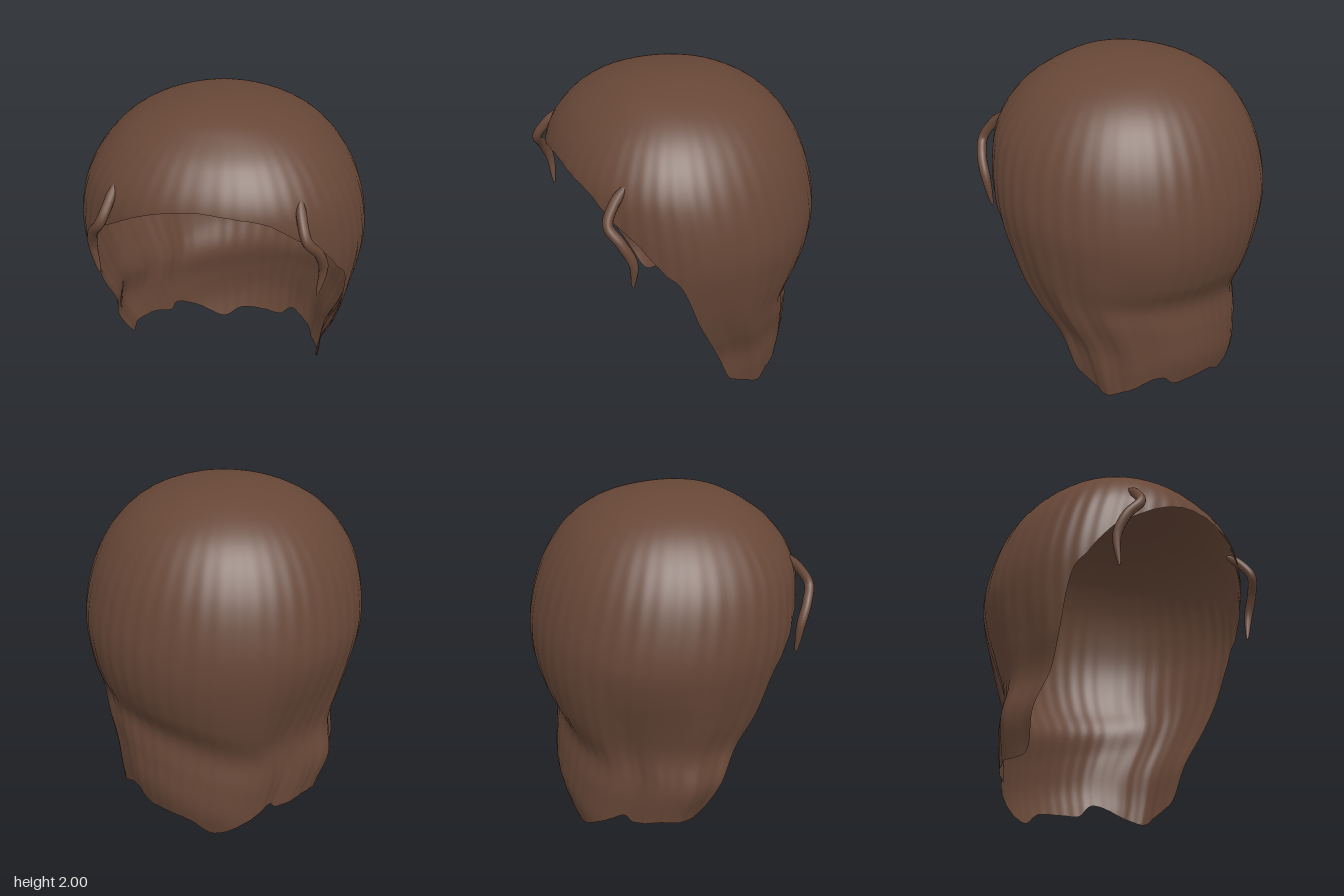
import * as THREE from 'three';

const hair = new THREE.MeshStandardMaterial({ color: 0x674737, side: THREE.DoubleSide });
hair.name = 'brown hair';

// Smooth interpolation through rows of [position, ...values]
function smoothTable(rows) {
  const size = rows[0].length - 1;
  const f = new THREE.CubicInterpolant(
    new Float32Array(rows.map(r => r[0])),
    new Float32Array(rows.flatMap(r => r.slice(1))), size, new Float32Array(size));
  return p => [...f.evaluate(p)];
}

// Cross-sections: height, left width, right width, front z, back z, centre z
const sections = smoothTable([
  [2, 0, 0, 0.1, 0.1, 0.1],
  [1.97, 0.25, 0.25, 0.35, -0.19, 0.1],
  [1.9, 0.45, 0.45, 0.5, -0.37, 0.1],
  [1.8, 0.59, 0.59, 0.63, -0.51, 0.1],
  [1.6, 0.735, 0.735, 0.75, -0.65, 0.1],
  [1.4, 0.8, 0.8, 0.76, -0.72, 0.08],
  [1.2, 0.82, 0.82, 0.75, -0.75, 0.05],
  [1.0, 0.795, 0.79, 0.73, -0.735, 0.03],
  [0.8, 0.755, 0.74, 0.69, -0.68, 0.01],
  [0.6, 0.70, 0.69, 0.60, -0.595, -0.04],
  [0.4, 0.63, 0.715, 0.50, -0.62, -0.1],
  [0.2, 0.605, 0.65, 0.45, -0.63, -0.15],
  [0, 0.57, 0.6, 0.42, -0.58, -0.17],
].map(([y, ...v]) => [Math.sqrt(2 - y), ...v]));

// Hem: angle around the head (0 = front, 90 = left) and height
const hemPoints = [
  [0, 1.62], [12, 1.6], [25, 1.56], [38, 1.44], [47, 1.36], [57, 1.2], [65, 1.08],
  [72, 0.75], [76, 0.4], [79, 0.2], [86, 0.12], [98, 0.06], [115, 0.1], [140, 0.19],
  [151, 0.11], [163, 0.1], [179, 0.08], [192, 0.0], [212, 0.1], [228, 0.18],
  [236, 0.14], [250, 0.17], [262, 0.18], [279, 0.2], [284, 0.4], [288, 0.72],
  [295, 1.07], [303, 1.2], [313, 1.36], [322, 1.44], [335, 1.54], [348, 1.6], [360, 1.62],
];
const hem = smoothTable(hemPoints.map((p, i) => [i, ...p]));

const bulge = (v, power) => Math.sign(v) * Math.abs(v) ** power;

// Point on the shell at angle u, s = square root of the drop from the crown
function shellPoint(u, s) {
  const y = 2 - s * s;
  const power = Math.cos(u) > 0 ? 0.91 : 0.97;
  const sin = bulge(Math.sin(u), power), cos = bulge(Math.cos(u), power);
  const low = THREE.MathUtils.smoothstep(1.2 - y, 0, 0.7);
  const [left, right, front, , centre] = sections(s);
  // the hollow above the nape runs diagonally across the back
  const back = sections(Math.sqrt(Math.max(0, 2 - y + 0.2 * low * sin)))[3];
  // fine strands, broad folds in the lower hair and one deep fold behind the right side
  const strands = 0.0025 * Math.min(1, s * s * 2) * Math.sin(48 * u + 3 * s);
  const folds = 0.014 * low * Math.sin(u) ** 2 * Math.sin(15 * u + 2.5 * y);
  const deepFold = -0.11 * low * Math.exp(-(((u - 4.08) / 0.33) ** 2));
  const k = 1 + strands + folds + deepFold;
  return [
    sin * (sin > 0 ? left : right) * k, y,
    centre + cos * (cos > 0 ? front - centre : centre - back) * k,
  ];
}

// Open shell from the crown down to the hem
function hairShell() {
  const cols = (hemPoints.length - 1) * 12, rows = 90, pos = [], index = [];
  for (let r = 0; r <= rows; r++) {
    for (let c = 0; c < cols; c++) {
      const [deg, yEnd] = hem(c / 12);
      const sEnd = Math.sqrt(2 - Math.max(0, yEnd));
      pos.push(...shellPoint(THREE.MathUtils.degToRad(deg), sEnd * r / rows));
    }
  }
  for (let r = 0; r < rows; r++) {
    for (let c = 0; c < cols; c++) {
      const n = (c + 1) % cols;
      const a = r * cols + c, b = a + cols, d = r * cols + n, e = d + cols;
      index.push(a, b, e);
      if (r > 0) index.push(a, e, d);
    }
  }
  const g = new THREE.BufferGeometry();
  g.setAttribute('position', new THREE.Float32BufferAttribute(pos, 3));
  g.setIndex(index);
  g.computeVertexNormals();
  return g;
}

// Loose lock at the temple: a tube tapering at both ends
function lock(side) {
  const curve = new THREE.CatmullRomCurve3([
    [0.485, 1.66, 0.55], [0.51, 1.57, 0.64], [0.545, 1.48, 0.69],
    [0.605, 1.39, 0.645], [0.63, 1.27, 0.595], [0.605, 1.09, 0.59],
  ].map(([x, y, z]) => new THREE.Vector3(side * x, y, z)));
  const steps = 48, sides = 12;
  const g = new THREE.TubeGeometry(curve, steps, 0.028, sides);
  const p = g.attributes.position, v = new THREE.Vector3();
  for (let i = 0; i <= steps; i++) {
    const t = i / steps, c = curve.getPointAt(t);
    const taper = Math.min(1, Math.sqrt(t * 8), Math.sqrt((1 - t) * 3));
    for (let j = 0; j <= sides; j++) {
      const k = i * (sides + 1) + j;
      v.fromBufferAttribute(p, k).sub(c).multiplyScalar(taper).add(c);
      p.setXYZ(k, v.x, v.y, v.z);
    }
  }
  return g;
}

export function createModel() {
  const model = new THREE.Group();
  model.name = 'hairstyle';
  const add = (name, geometry) => {
    const mesh = new THREE.Mesh(geometry, hair);
    mesh.name = name;
    model.add(mesh);
  };
  add('hairShell', hairShell());
  add('leftLock', lock(1));
  add('rightLock', lock(-1));
  return model;
}
